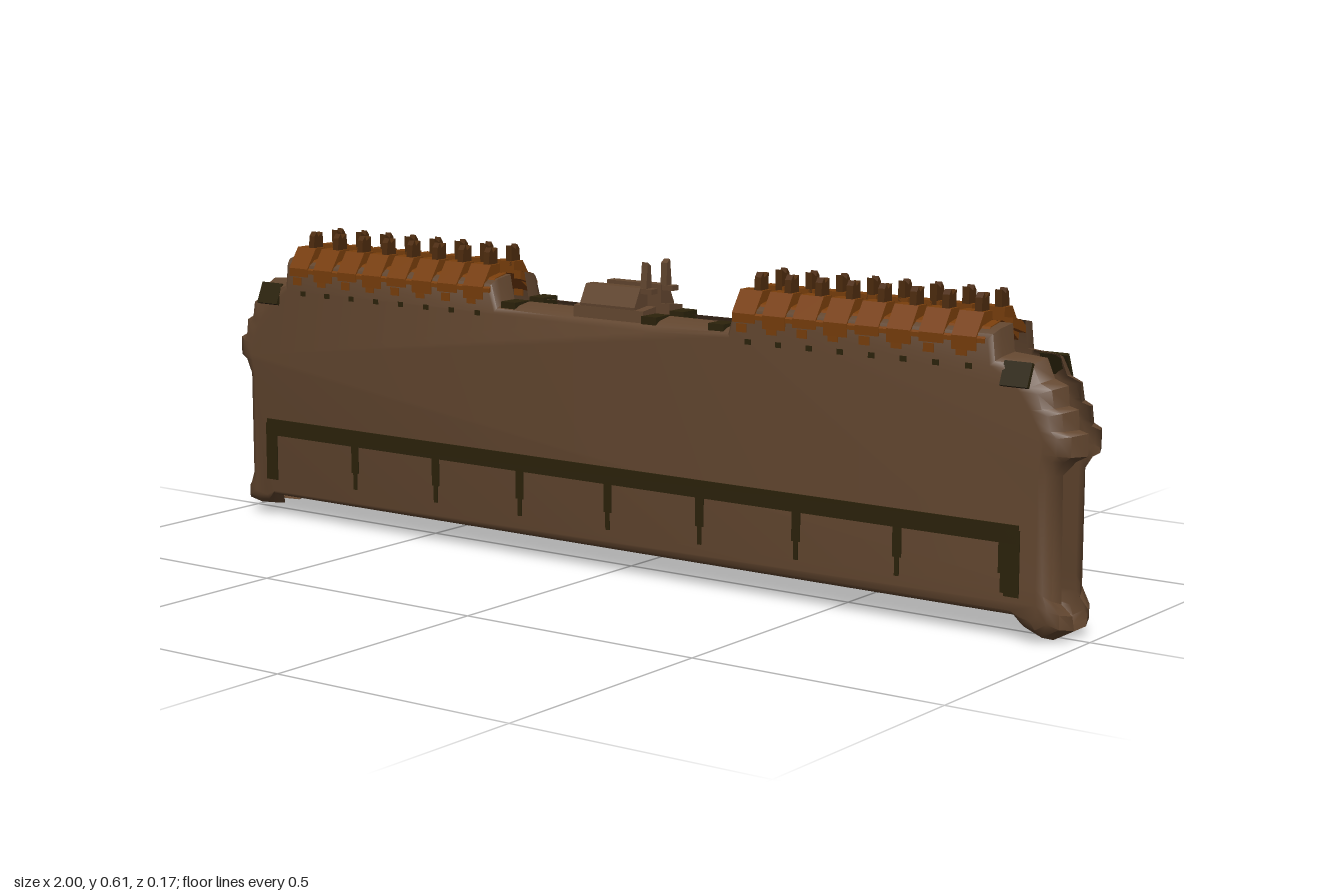
import * as THREE from 'three';
import { toCreasedNormals } from 'three/addons/utils/BufferGeometryUtils.js';

const mat = (name, color) => {
  const m = new THREE.MeshStandardMaterial({ color, side: THREE.DoubleSide });
  m.name = name;
  return m;
};

// Right half of the outline, bottom to top: outer x, outer y, rim z, face x, face y
const HALF = [
  [0.3, 0.04, 0.036, 0.3, 0.055],
  [0.89, 0.04, 0.036, 0.88, 0.055],
  [0.9, 0.018, 0.022, 0.9, 0.045],
  [0.94, 0.0, 0.022, 0.92, 0.042],
  [0.98, 0.022, 0.022, 0.932, 0.05],
  [0.98, 0.05, 0.03, 0.932, 0.07],
  [0.96, 0.07, 0.034, 0.93, 0.1],
  [0.96, 0.3, 0.04, 0.93, 0.3],
  [0.98, 0.325, 0.03, 0.935, 0.33],
  [0.998, 0.335, 0.022, 0.938, 0.34],
  [0.998, 0.375, 0.022, 0.938, 0.365],
  [0.98, 0.38, 0.022, 0.93, 0.38],
  [0.978, 0.415, 0.022, 0.92, 0.4],
  [0.96, 0.42, 0.022, 0.912, 0.415],
  [0.957, 0.455, 0.022, 0.9, 0.435],
  [0.93, 0.465, 0.022, 0.89, 0.445],
  [0.915, 0.5, 0.022, 0.87, 0.465],
  [0.85, 0.505, 0.022, 0.83, 0.485],
  [0.845, 0.555, 0.022, 0.825, 0.53],
  [0.28, 0.555, 0.022, 0.295, 0.53],
  [0.27, 0.505, 0.022, 0.28, 0.485],
  [0.1, 0.505, 0.022, 0.1, 0.48],
];

// Open dished panel: flat face with rounded walls turning in to the rim
function panelGeometry() {
  const left = HALF.map(([x, y, z, u, v]) => [-x, Math.max(y, 0.016), z, -u, v]).reverse();
  const loop = [...HALF, ...left];
  const rows = [
    loop.map(([x, y, z]) => [x, y, z]),
    loop.map(([x, y, z, u, v]) => [u + (x - u) * 0.75, v + (y - v) * 0.75, 0.056]),
    loop.map(([x, y, z, u, v]) => [u + (x - u) * 0.4, v + (y - v) * 0.4, 0.07]),
    loop.map(([x, y, z, u, v]) => [u, v, 0.075]),
  ];
  const n = loop.length, index = [];
  for (let r = 0; r < 3; r++) {
    for (let i = 0; i < n; i++) {
      const a = r * n + i, b = r * n + (i + 1) % n;
      index.push(a, b, b + n, a, b + n, a + n);
    }
  }
  const face = rows[3].map(([x, y]) => new THREE.Vector2(x, y));
  for (const t of THREE.ShapeUtils.triangulateShape(face, [])) index.push(...t.map(i => i + 3 * n));
  const g = new THREE.BufferGeometry();
  g.setAttribute('position', new THREE.Float32BufferAttribute(rows.flat(2), 3));
  g.setIndex(index);
  return toCreasedNormals(g, 0.7);
}

// Slab with a (z, y) cross-section, running from x to x + w
function slab(points, x, w) {
  const shape = new THREE.Shape(points.map(([z, y]) => new THREE.Vector2(z, y)));
  const g = new THREE.ExtrudeGeometry(shape, { depth: w, bevelEnabled: false });
  return g.rotateY(-Math.PI / 2).translate(x + w, 0, 0);
}

function box(w, h, d, x, y, z, tilt = 0) {
  return new THREE.BoxGeometry(w, h, d).rotateX(tilt).translate(x, y, z);
}

export function createModel() {
  const wood = mat('brown', 0x62462f);
  const orange = mat('rust orange', 0x7a3f0c);
  const dark = mat('dark olive', 0x2c230b);
  const spikeMat = mat('dark rust', 0x4e2c0e);

  function side(name) {
    const g = new THREE.Group();
    g.name = name;
    const add = (part, geo, m) => {
      const mesh = new THREE.Mesh(geo, m);
      mesh.name = part;
      g.add(mesh);
    };
    add('panel', panelGeometry(), wood);

    // Dark band with hanging tips
    add('band', box(1.79, 0.034, 0.004, 0, 0.192, 0.0755), dark);
    for (const s of [-1, 1]) {
      add('bandEnd', box(0.03, 0.12, 0.004, s * 0.883, 0.14, 0.0755), dark);
      add('cornerPatch', box(0.055, 0.045, 0.008, s * 0.882, 0.474, 0.0715, -0.4), dark);
    }
    for (let i = 0; i < 8; i++) {
      const x = -0.65 + i * 0.2165;
      add('bandTip', box(0.018, 0.06, 0.004, x, 0.15, 0.0755), dark);
      add('bandTipPoint', box(0.009, 0.035, 0.004, x, 0.103, 0.0755), dark);
    }

    // Clips along the middle of the top edge
    for (const x of [-0.25, 0.09, 0.245]) add('clip', box(0.035, 0.022, 0.045, x, 0.496, 0.045), dark);

    // Two rows of orange tiles with upright spikes
    for (const start of [-0.822, 0.288]) {
      for (let i = 0; i < 8; i++) {
        const x = start + i * 0.0665;
        const low = i % 2 ? 0.508 : 0.516;
        add('tile', slab([[0.077, low], [0.0775, 0.533], [0.05, 0.574], [0.022, 0.574], [0.022, 0.55]], x, 0.05), orange);
        add('tileGap', slab([[0.0765, 0.523], [0.0765, 0.531], [0.056, 0.55], [0.022, 0.557], [0.022, 0.54]], x + 0.05, 0.0165), orange);
        add('tileTooth', box(0.022, 0.016, 0.004, x + 0.02, 0.506, 0.0745), orange);
        add('spike', slab([[0.022, 0.565], [0.05, 0.565], [0.047, 0.598], [0.04, 0.607], [0.036, 0.597], [0.022, 0.605]], x + 0.03, 0.014), spikeMat);
        add('stud', box(0.013, 0.01, 0.004, x + 0.035, 0.481, 0.0745), dark);
      }
    }

    // Central crest with a leaning tip
    add('crest', slab([[0.062, 0.49], [0.064, 0.52], [0.045, 0.556], [0.022, 0.556], [0.022, 0.49]], -0.075, 0.13), wood);
    add('crestFoot', slab([[0.066, 0.49], [0.064, 0.515], [0.022, 0.52], [0.022, 0.49]], -0.09, 0.165), wood);
    add('crestArm', box(0.05, 0.01, 0.02, 0.055, 0.55, 0.034), wood);
    add('crestTip', slab([[0.024, 0.55], [0.042, 0.55], [0.036, 0.605], [0.026, 0.598]], 0.052, 0.014), wood);
    return g;
  }

  const model = new THREE.Group();
  model.name = 'doublePanel';
  const back = side('backPanel');
  back.scale.z = -1;
  model.add(side('frontPanel'), back);
  return model;
}
